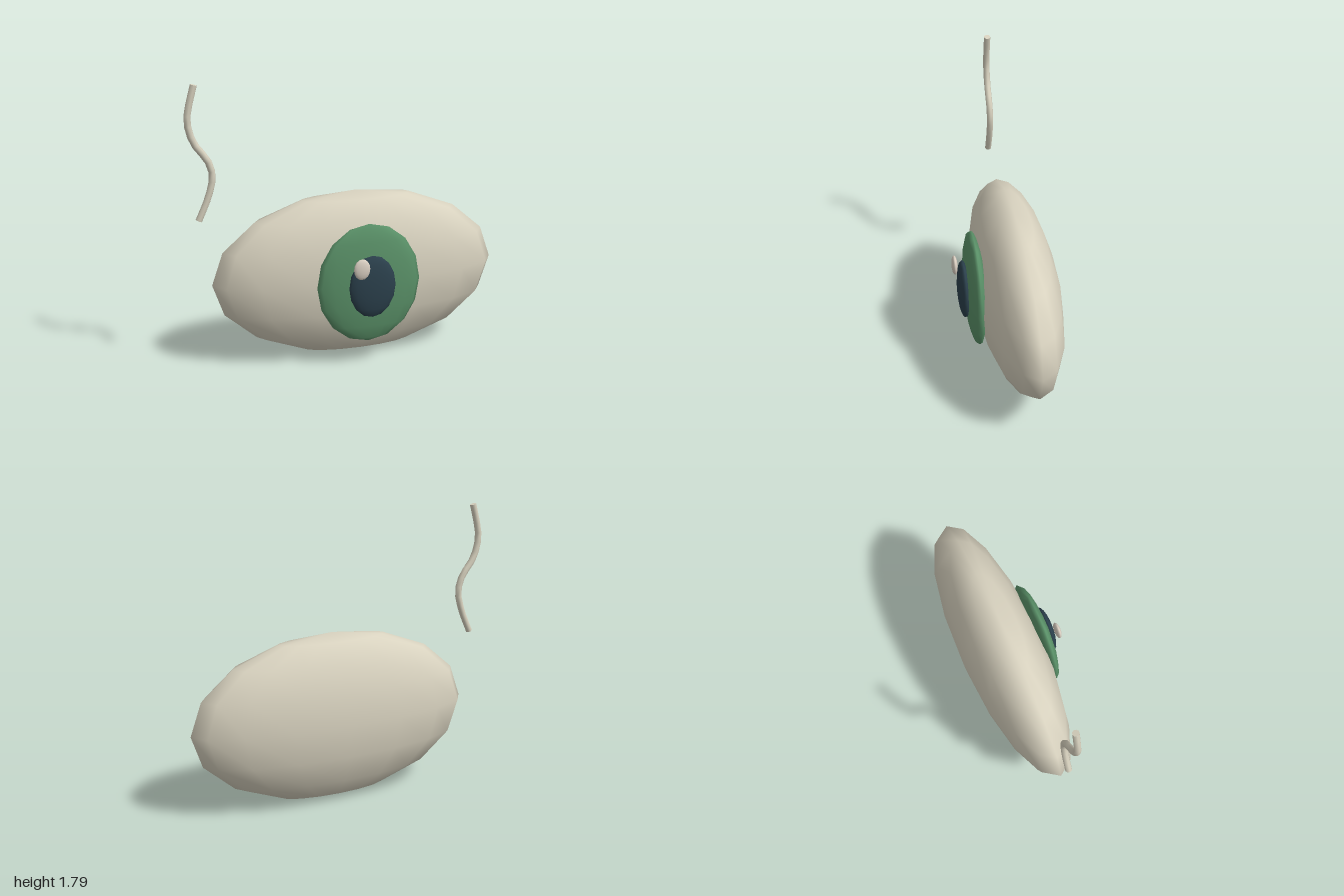
import * as THREE from 'three';

const material = (name, color, side = THREE.FrontSide) => {
  const m = new THREE.MeshStandardMaterial({ color, side });
  m.name = name;
  return m;
};

export function createModel() {
  const model = new THREE.Group();
  model.name = 'eye';
  const ivory = material('ivory', 0xd8d2bf);
  const green = material('green', 0x5a9168);
  const navy = material('navy', 0x2b404c);
  const pearl = material('pearl', 0xdacfc2);

  // Flattened spheres, stacked toward the front
  const ellipsoid = (name, mat, centre, radii) => {
    const geometry = new THREE.SphereGeometry(1, 16, 8).scale(...radii);
    const mesh = new THREE.Mesh(geometry, mat);
    mesh.name = name;
    mesh.position.set(...centre);
    model.add(mesh);
  };
  ellipsoid('eyeball', ivory, [0.063, 0.537, -0.06], [0.93, 0.532, 0.262]);
  ellipsoid('iris', green, [0.063, 0.537, 0.195], [0.333, 0.382, 0.063]);
  ellipsoid('pupil', navy, [0.063, 0.537, 0.263], [0.15, 0.199, 0.04]);
  ellipsoid('highlight', pearl, [-0.02, 0.67, 0.307], [0.052, 0.066, 0.019]);

  // Wavy strand floating beside the eye
  const radius = 0.021;
  const path = new THREE.CatmullRomCurve3([
    [-0.933, 0.96], [-0.873, 1.096], [-0.841, 1.225], [-0.863, 1.32],
    [-0.949, 1.444], [-0.98, 1.57], [-0.967, 1.66], [-0.933, 1.785],
  ].map(([x, y]) => new THREE.Vector3(x, y, -0.06)));
  const strand = new THREE.Group();
  strand.name = 'strand';
  const tube = new THREE.Mesh(new THREE.TubeGeometry(path, 14, radius, 8), ivory);
  tube.name = 'strandTube';
  strand.add(tube);

  // Closed ends of the strand
  for (const [t, sign] of [[0, -1], [1, 1]]) {
    const cap = new THREE.Mesh(new THREE.CircleGeometry(radius, 8), ivory);
    cap.name = t ? 'strandTopCap' : 'strandBottomCap';
    cap.position.copy(path.getPointAt(t));
    cap.quaternion.setFromUnitVectors(
      new THREE.Vector3(0, 0, 1), path.getTangentAt(t).multiplyScalar(sign));
    strand.add(cap);
  }
  model.add(strand);
  return model;
}
